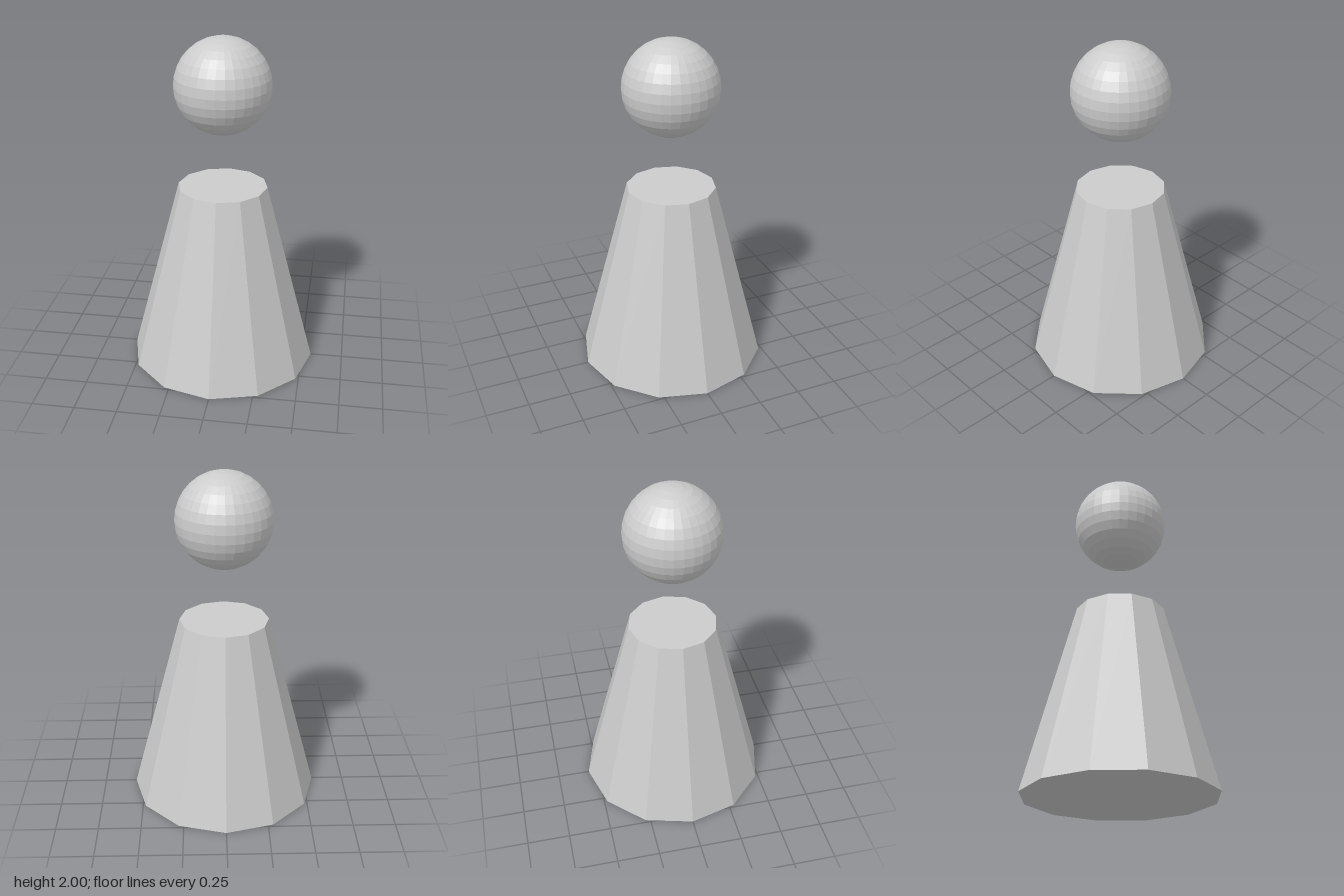
import * as THREE from 'three';

export function createModel() {
  const model = new THREE.Group();
  const material = new THREE.MeshStandardMaterial({ color: 0xcccccc, flatShading: true });

  const addPart = (name, geometry, y) => {
    const mesh = new THREE.Mesh(geometry, material);
    mesh.name = name;
    mesh.position.y = y;
    model.add(mesh);
  };

  // Twelve-sided tapered body standing on the ground
  const bodyHeight = 1.118;
  addPart('body', new THREE.CylinderGeometry(0.263, 0.558, bodyHeight, 12), bodyHeight / 2);

  // Faceted ball floating above the body
  const headRadius = 0.279;
  addPart('head', new THREE.SphereGeometry(headRadius, 32, 16), 2 - headRadius);

  return model;
}
